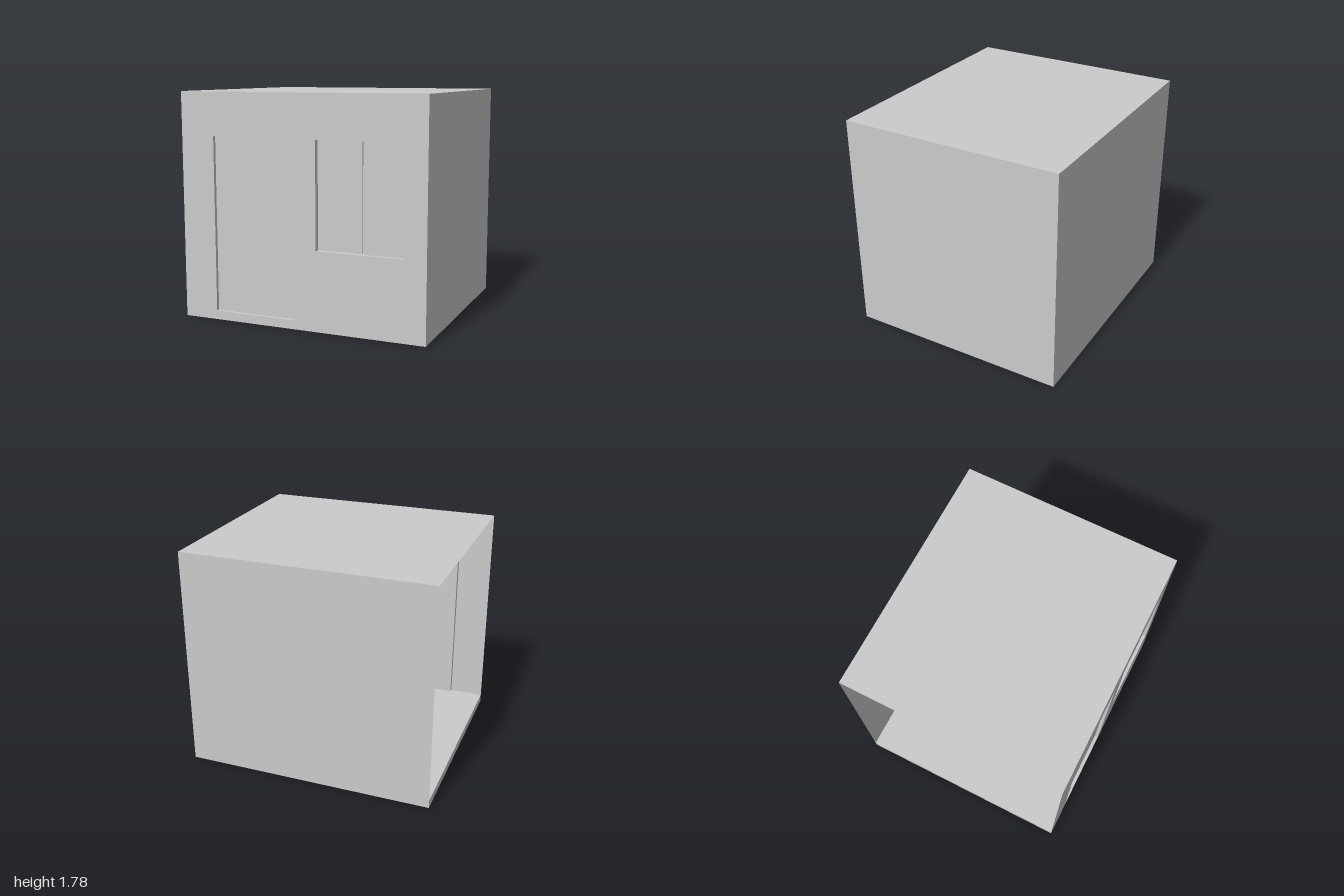
import * as THREE from 'three';

const W = 2, H = 1.785, D = 1.78, FLOOR = 0.065;
const door = { x0: -0.72, x1: -0.035, y0: 0.07, y1: 1.445 };
const win = { x0: 0.14, x1: 0.83, y0: 0.62, y1: 1.445 };

export function createModel() {
  const room = new THREE.Group();
  room.name = 'room';
  const mat = new THREE.MeshStandardMaterial({ color: 0xcccccc, side: THREE.DoubleSide, flatShading: true });

  const add = (name, geometry, x, y, z, parent = room) => {
    const mesh = new THREE.Mesh(geometry, mat);
    mesh.name = name;
    mesh.position.set(x, y, z);
    parent.add(mesh);
    return mesh;
  };
  const box = (name, w, h, d, x, y, z, parent) => add(name, new THREE.BoxGeometry(w, h, d), x, y, z, parent);
  const rectPath = (r, P) => {
    const p = new P();
    p.moveTo(r.x0, r.y0);
    p.lineTo(r.x1, r.y0);
    p.lineTo(r.x1, r.y1);
    p.lineTo(r.x0, r.y1);
    p.closePath();
    return p;
  };

  // Front wall with door and window openings
  const front = rectPath({ x0: -W / 2, x1: W / 2, y0: 0, y1: H }, THREE.Shape);
  front.holes.push(rectPath(door, THREE.Path), rectPath(win, THREE.Path));
  add('frontWall', new THREE.ShapeGeometry(front), 0, 0, D / 2);

  // Thin back wall, right wall and roof; the -x side stays open
  add('backWall', new THREE.PlaneGeometry(W, H), 0, H / 2, -D / 2).rotation.y = Math.PI;
  add('sideWall', new THREE.PlaneGeometry(D, H), W / 2, H / 2, 0).rotation.y = Math.PI / 2;
  add('roof', new THREE.PlaneGeometry(W, D), 0, H, 0).rotation.x = -Math.PI / 2;
  box('floor', W, FLOOR, D, 0, FLOOR / 2, 0);

  // Recess lining around an opening
  const lining = (name, r, depth) => {
    const g = new THREE.Group();
    g.name = name;
    room.add(g);
    const w = r.x1 - r.x0, h = r.y1 - r.y0, cx = (r.x0 + r.x1) / 2, cy = (r.y0 + r.y1) / 2;
    const z = D / 2 - depth / 2;
    for (const x of [r.x0, r.x1])
      add('jamb', new THREE.PlaneGeometry(depth, h), x, cy, z, g).rotation.y = Math.PI / 2;
    for (const y of [r.y0, r.y1])
      add(y === r.y0 ? 'sill' : 'head', new THREE.PlaneGeometry(w, depth), cx, y, z, g).rotation.x = -Math.PI / 2;
    return { g, w, h, cx, cy };
  };

  // Door leaf set back in its recess
  const d = lining('doorFrame', door, 0.04);
  box('doorLeaf', d.w, d.h, 0.012, d.cx, d.cy, D / 2 - 0.034, d.g);

  // Two sliding sashes, the right one in front
  const w = lining('windowFrame', win, 0.055);
  const half = w.w / 2 + 0.01;
  box('backSash', half, w.h, 0.012, win.x0 + half / 2, w.cy, D / 2 - 0.049, w.g);
  box('frontSash', half - 0.04, w.h, 0.012, win.x1 - half / 2 + 0.02, w.cy, D / 2 - 0.036, w.g);

  return room;
}
